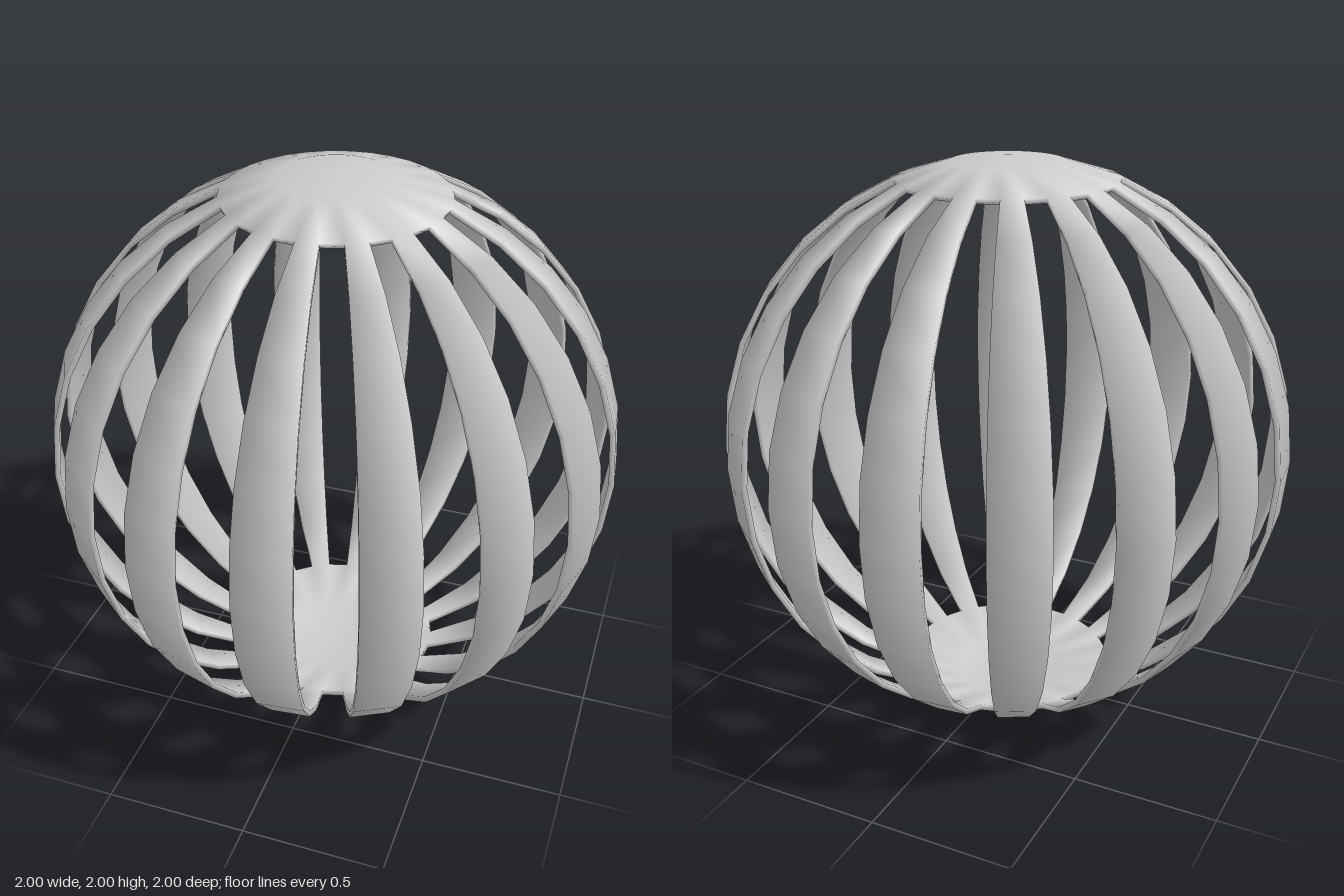
import * as THREE from 'three';

const SEGMENTS = 32; // around the sphere, every second one is a rib
const RINGS = 16; // from pole to pole
const CAP = 2; // rings in each closed cap
const THICKNESS = 0.02;

export function createModel() {
  const positions = [];
  const normals = [];

  // Shared vertices of the outer and inner skins
  for (const radius of [1, 1 - THICKNESS]) {
    for (let j = 0; j <= RINGS; j++) {
      for (let i = 0; i < SEGMENTS; i++) {
        const phi = (j / RINGS) * Math.PI;
        const theta = (i / SEGMENTS) * Math.PI * 2;
        positions.push(
          radius * Math.sin(phi) * Math.sin(theta),
          1 + radius * Math.cos(phi),
          radius * Math.sin(phi) * Math.cos(theta)
        );
        normals.push(0, 0, 0);
      }
    }
  }
  const vertex = (skin, j, i) => {
    const column = j === 0 || j === RINGS ? 0 : i % SEGMENTS;
    return (skin * (RINGS + 1) + j) * SEGMENTS + column;
  };
  const outer = (j, i) => vertex(0, j, i);
  const inner = (j, i) => vertex(1, j, i);
  const point = (n) => new THREE.Vector3().fromArray(positions, n * 3);

  // Adds a quad (or a triangle at a pole); each face counts equally in the smooth normals
  function quad(index, a, b, c, d) {
    if (a !== b && b !== c) index.push(a, b, c);
    if (c !== d && d !== a) index.push(a, c, d);
    const n = point(c).sub(point(a)).cross(point(d).sub(point(b))).normalize();
    for (const v of new Set([a, b, c, d])) {
      normals[v * 3] += n.x;
      normals[v * 3 + 1] += n.y;
      normals[v * 3 + 2] += n.z;
    }
  }

  // Outer and inner face of one cell of the sphere
  function shellCell(index, j, i) {
    quad(index, outer(j, i), outer(j + 1, i), outer(j + 1, i + 1), outer(j, i + 1));
    quad(index, inner(j, i), inner(j, i + 1), inner(j + 1, i + 1), inner(j + 1, i));
  }

  const topCap = [];
  const bottomCap = [];
  const ribs = [];
  const low = RINGS - CAP;

  // Closed caps, with an edge wall at every gap between ribs
  for (let i = 0; i < SEGMENTS; i++) {
    for (let j = 0; j < CAP; j++) {
      shellCell(topCap, j, i);
      shellCell(bottomCap, low + j, i);
    }
    if (i % 2 === 1) {
      quad(topCap, outer(CAP, i), inner(CAP, i), inner(CAP, i + 1), outer(CAP, i + 1));
      quad(bottomCap, outer(low, i), outer(low, i + 1), inner(low, i + 1), inner(low, i));
    }
  }

  // Curved ribs with side walls
  for (let i = 0; i < SEGMENTS; i += 2) {
    for (let j = CAP; j < low; j++) {
      shellCell(ribs, j, i);
      quad(ribs, outer(j, i), inner(j, i), inner(j + 1, i), outer(j + 1, i));
      quad(ribs, outer(j, i + 1), outer(j + 1, i + 1), inner(j + 1, i + 1), inner(j, i + 1));
    }
  }

  const positionAttribute = new THREE.Float32BufferAttribute(positions, 3);
  const normalAttribute = new THREE.Float32BufferAttribute(normals, 3);
  const material = new THREE.MeshStandardMaterial({ color: 0xcccccc });
  const group = new THREE.Group();
  group.name = 'ribbedSphere';

  // The parts share vertices, so shading runs smoothly from caps to ribs
  for (const [name, index] of Object.entries({ topCap, ribs, bottomCap })) {
    const geometry = new THREE.BufferGeometry();
    geometry.setAttribute('position', positionAttribute);
    geometry.setAttribute('normal', normalAttribute);
    geometry.setIndex(index);
    geometry.normalizeNormals();
    const mesh = new THREE.Mesh(geometry, material);
    mesh.name = name;
    group.add(mesh);
  }
  return group;
}
